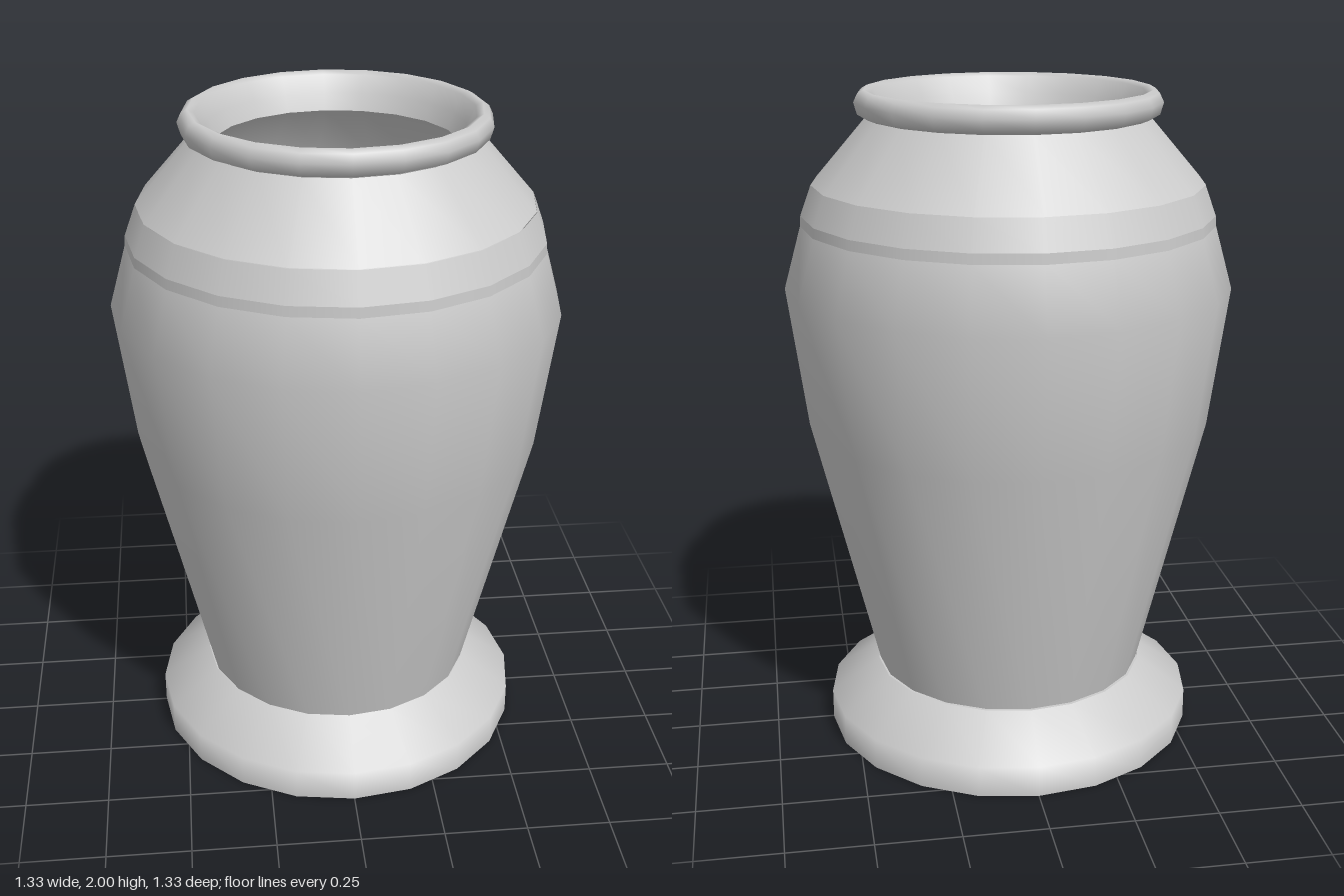
import * as THREE from 'three';

const SIDES = 20;
const material = new THREE.MeshStandardMaterial({ color: 0xcccccc, side: THREE.DoubleSide });

// One turned section; each section is smooth, with a crease where sections meet
function turned(name, profile, z = 0) {
  const points = profile.map(([r, y]) => new THREE.Vector2(r, y));
  const mesh = new THREE.Mesh(new THREE.LatheGeometry(points, SIDES), material);
  mesh.name = name;
  mesh.position.z = z;
  return mesh;
}

export function createModel() {
  const vase = new THREE.Group();
  vase.name = 'vase';

  // Foot with a flat underside
  vase.add(
    turned('footUnderside', [[0, 0], [0.572, 0]], -0.005),
    turned('foot', [[0.572, 0], [0.572, 0.095], [0.42, 0.2]], -0.005),
  );

  // Outer wall, bottom to neck
  vase.add(
    turned('body', [[0.415, 0.2], [0.61, 1.0], [0.667, 1.425], [0.615, 1.61]]),
    turned('shoulderBand', [[0.615, 1.61], [0.613, 1.64]]),
    turned('collar', [[0.613, 1.64], [0.58, 1.73]]),
    turned('shoulder', [[0.58, 1.73], [0.415, 1.92]], -0.005),
  );

  // Rolled rim sloping into the mouth
  vase.add(turned('rim', [
    [0.415, 1.92], [0.44, 1.93], [0.45, 1.965], [0.438, 1.99], [0.42, 2.0],
    [0.4, 1.99], [0.375, 1.94], [0.357, 1.89],
  ], -0.01));

  // Hollow interior with a rounded floor
  vase.add(turned('interior', [
    [0.357, 1.89], [0.53, 1.71], [0.615, 1.42], [0.565, 1.0], [0.385, 0.27],
    [0.3, 0.23], [0, 0.21],
  ], -0.01));

  return vase;
}
